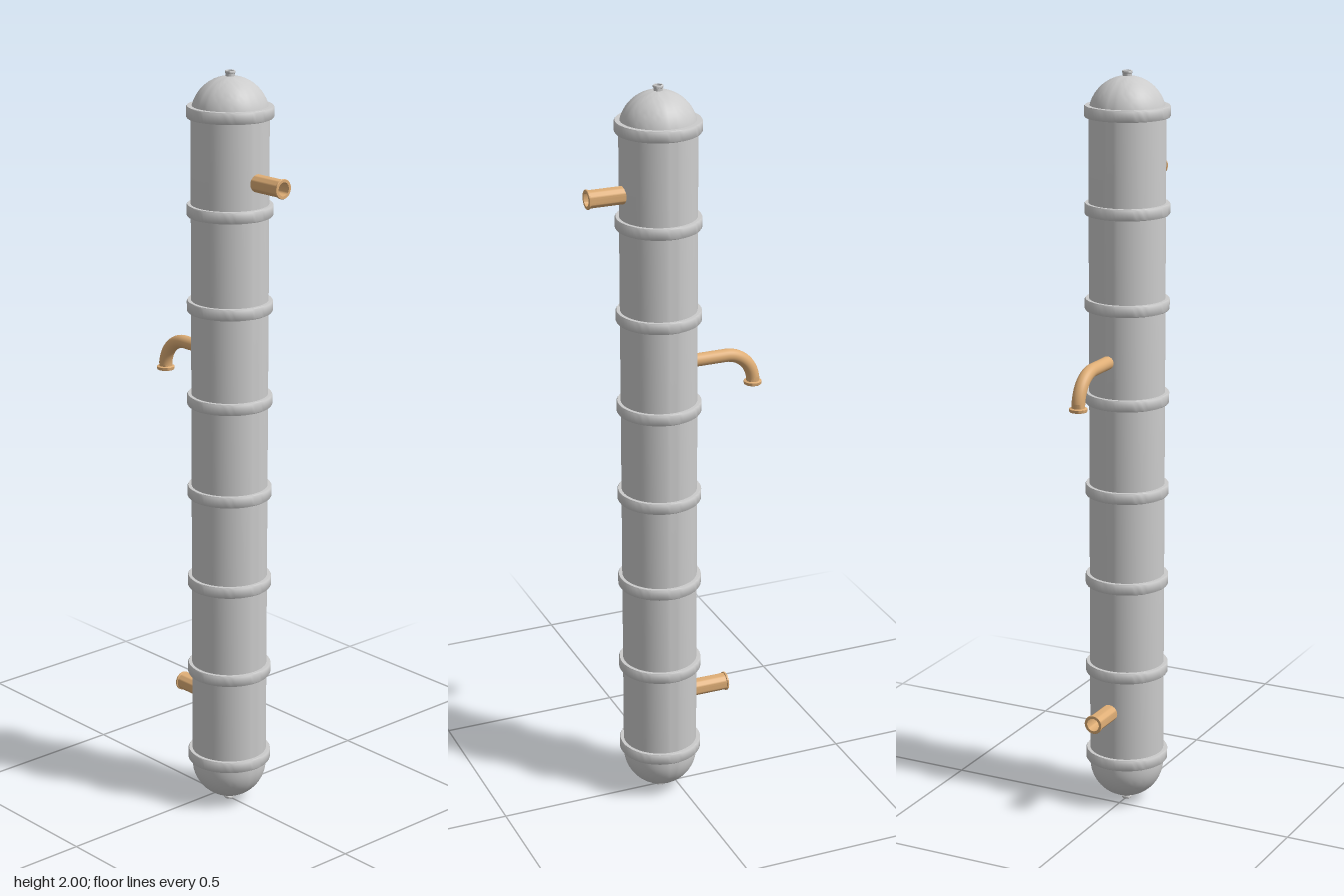
import * as THREE from 'three';
import { toCreasedNormals } from 'three/addons/utils/BufferGeometryUtils.js';

const CX = 0.045; // column axis
const R = 0.1;    // column radius

const steel = new THREE.MeshStandardMaterial({ color: 0xcccccc });
const copper = new THREE.MeshStandardMaterial({ color: 0xdfae76 });

function lathe(name, profile, material, segments = 32) {
  const points = profile.map(([r, y]) => new THREE.Vector2(r, y));
  const geometry = toCreasedNormals(new THREE.LatheGeometry(points, segments), 0.6);
  const mesh = new THREE.Mesh(geometry, material);
  mesh.name = name;
  return mesh;
}

// Hollow pipe along +y with a thin lip around its open end
function hollowPipe(name, length, r, lipR, boreR, lipH, depth, material) {
  return lathe(name, [
    [r, 0], [r, length - lipH], [lipR, length - lipH * 0.8], [lipR, length - lipH * 0.2],
    [lipR - 0.001, length], [boreR, length], [boreR, length - depth], [0, length - depth],
  ], material);
}

export function createModel() {
  const model = new THREE.Group();
  model.name = 'columnVessel';

  // Shell: cylinder closed by a dome at each end
  const low = 0.113, high = 1.887, steps = 14;
  const shell = [];
  for (let i = 0; i <= steps; i++) {
    const a = (i / steps) * Math.PI / 2;
    shell.push([R * Math.sin(a), low - R * Math.cos(a)]);
  }
  for (let i = 0; i <= steps; i++) {
    const a = (i / steps) * Math.PI / 2;
    shell.push([R * Math.cos(a), high + R * Math.sin(a)]);
  }
  const body = lathe('shell', shell, steel, 64);
  body.position.x = CX;
  model.add(body);

  // Evenly spaced joint bands
  const h = 0.015, bandR = 0.111;
  for (let i = 0; i < 8; i++) {
    const band = lathe('jointBand', [
      [R - 0.005, -h], [bandR - 0.002, -h], [bandR, -h + 0.003],
      [bandR, h - 0.003], [bandR - 0.002, h], [R - 0.005, h],
    ], steel, 64);
    band.position.set(CX, 0.137 + i * (1.897 - 0.137) / 7, 0);
    model.add(band);
  }

  // Small vents on the dome tips
  for (const top of [true, false]) {
    const vent = hollowPipe(top ? 'topVent' : 'bottomVent', 0.03, 0.012, 0.0135, 0.009, 0.007, 0.012, steel);
    vent.position.set(CX, top ? 1.97 : 0.03, 0);
    if (!top) vent.rotation.z = Math.PI;
    model.add(vent);
  }

  // Straight nozzles: upper one to the left, lower one to the right
  for (const [name, side, y] of [['upperNozzle', 1, 1.728], ['lowerNozzle', -1, 0.283]]) {
    const nozzle = hollowPipe(name, 0.116, 0.023, 0.0255, 0.0175, 0.006, 0.1, copper);
    nozzle.position.set(CX + side * 0.08, y, -0.003);
    nozzle.rotation.z = -side * Math.PI / 2;
    model.add(nozzle);
  }

  // Side outlet bending down to a lipped mouth
  const outlet = new THREE.Group();
  outlet.name = 'bentOutlet';
  const v = (x, y) => new THREE.Vector3(x, y, -0.007);
  const topY = 1.255, endX = -0.219, b = 0.08, k = b * 0.4477;
  const path = new THREE.CurvePath();
  path.add(new THREE.LineCurve3(v(CX - 0.08, topY), v(endX + b, topY)));
  path.add(new THREE.CubicBezierCurve3(
    v(endX + b, topY), v(endX + k, topY), v(endX, topY - k), v(endX, topY - b)));
  const bend = new THREE.Mesh(new THREE.TubeGeometry(path, 48, 0.0175, 24), copper);
  bend.name = 'outletPipe';
  const mouth = hollowPipe('outletMouth', 0.022, 0.0175, 0.0235, 0.014, 0.01, 0.02, copper);
  mouth.position.set(endX, 1.186, -0.007);
  mouth.rotation.z = Math.PI;
  outlet.add(bend, mouth);
  model.add(outlet);

  return model;
}
